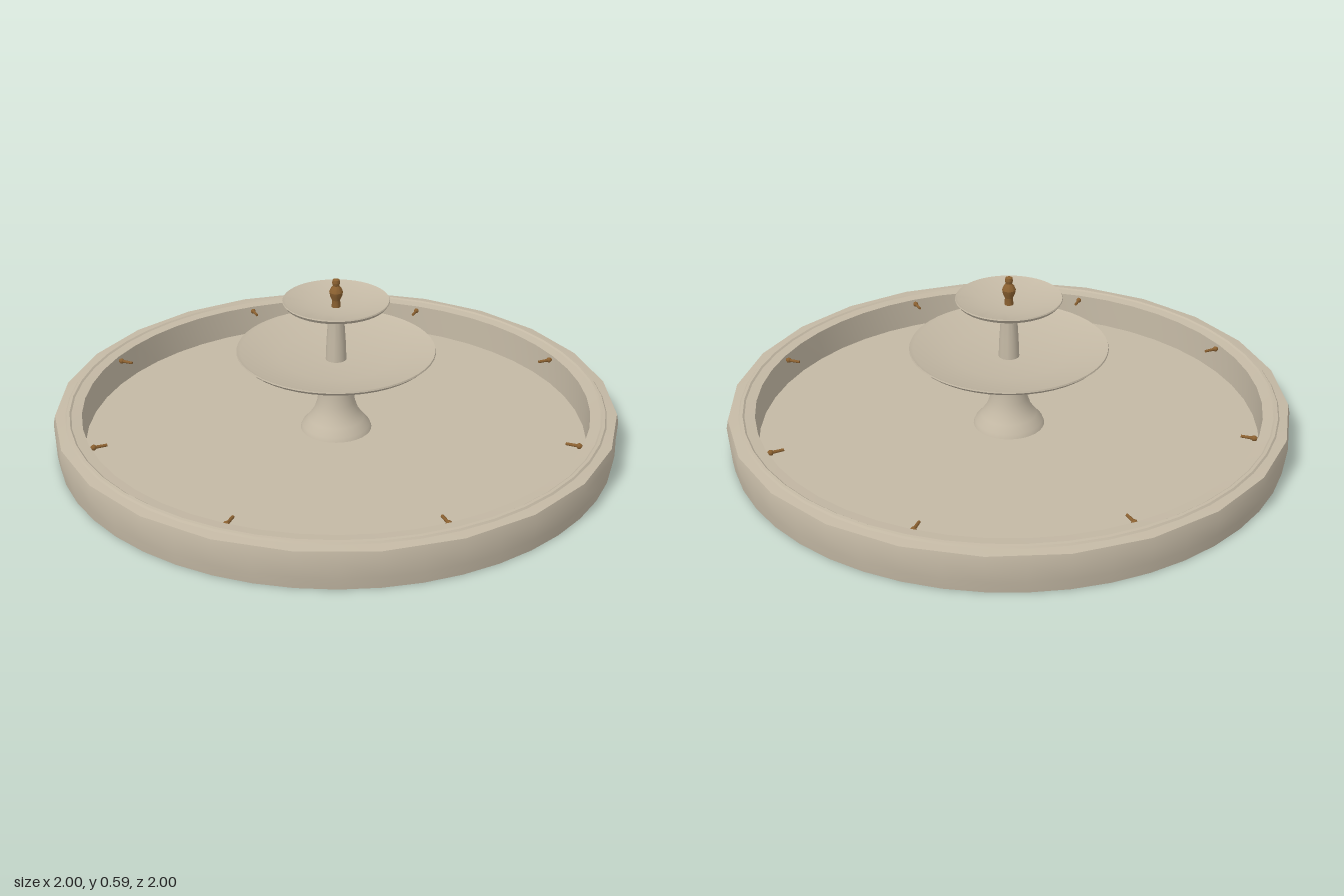
import * as THREE from 'three';
import { toCreasedNormals } from 'three/addons/utils/BufferGeometryUtils.js';

const stone = new THREE.MeshStandardMaterial({ name: 'stone', color: 0xc3b8a4 });
const bronze = new THREE.MeshStandardMaterial({ name: 'bronze', color: 0x8a6030 });

// Turned part from [radius, height] pairs, listed from underside to upper side
function turned(name, profile, material, segments, reshape) {
  const points = profile.map(([r, y]) => new THREE.Vector2(r, y));
  const geometry = new THREE.LatheGeometry(points, segments);
  if (reshape) reshape(geometry.attributes.position, profile.length);
  const mesh = new THREE.Mesh(toCreasedNormals(geometry, 0.5), material);
  mesh.name = name;
  return mesh;
}

// Flatten the upper outer wall into 24 straight facets above the round foot
function facetRim(position, rows) {
  const pull = Math.cos(Math.PI / 24);
  for (let i = 0; i < position.count; i++) {
    const column = Math.floor(i / rows), row = i % rows;
    if (column % 2 === 1 && row >= 3 && row <= 4) {
      position.setX(i, position.getX(i) * pull);
      position.setZ(i, position.getZ(i) * pull);
    }
  }
}

export function createModel() {
  const fountain = new THREE.Group();
  fountain.name = 'fountain';

  // Wide basin with a raised bead on the rim and a sunken floor
  fountain.add(turned('basin', [
    [0, 0], [0.988, 0], [0.993, 0.04], [1, 0.1], [0.993, 0.132],
    [0.957, 0.136], [0.952, 0.142], [0.942, 0.143], [0.936, 0.138],
    [0.9, 0.134], [0.895, 0.02], [0, 0.02],
  ], stone, 48, facetRim));

  // Flared pedestal
  fountain.add(turned('pedestal', [
    [0.128, 0.02], [0.122, 0.035], [0.1, 0.06], [0.08, 0.09],
    [0.068, 0.125], [0.063, 0.16], [0.057, 0.25], [0.057, 0.28],
  ], stone, 32));

  // Lower bowl, shallow and hollow
  fountain.add(turned('lowerBowl', [
    [0, 0.265], [0.06, 0.267], [0.2, 0.288], [0.338, 0.314],
    [0.352, 0.327], [0.35, 0.332], [0.338, 0.327], [0.2, 0.303], [0, 0.287],
  ], stone, 48));

  // Upper column
  fountain.add(turned('upperColumn', [
    [0.037, 0.285], [0.034, 0.36], [0.028, 0.45], [0.028, 0.485],
  ], stone, 32));

  // Upper bowl
  fountain.add(turned('upperBowl', [
    [0, 0.47], [0.032, 0.472], [0.11, 0.485], [0.178, 0.501],
    [0.187, 0.513], [0.185, 0.517], [0.176, 0.513], [0.1, 0.5], [0, 0.488],
  ], stone, 48));

  // Bronze finial
  fountain.add(turned('finial', [
    [0.016, 0.486], [0.014, 0.515], [0.021, 0.53], [0.024, 0.545],
    [0.019, 0.558], [0.011, 0.568], [0.014, 0.579], [0.012, 0.59], [0, 0.594],
  ], bronze, 20));

  // Eight nozzles pointing inward from the basin wall
  const spoutGeometry = new THREE.CylinderGeometry(0.005, 0.006, 0.055, 10).rotateZ(Math.PI / 2);
  const headGeometry = new THREE.SphereGeometry(0.01, 12, 8);
  for (let i = 0; i < 8; i++) {
    const nozzle = new THREE.Group();
    nozzle.name = `nozzle${i + 1}`;
    const spout = new THREE.Mesh(spoutGeometry, bronze);
    spout.name = 'spout';
    spout.position.set(0.866, 0.121, 0);
    const head = new THREE.Mesh(headGeometry, bronze);
    head.name = 'nozzleHead';
    head.position.set(0.884, 0.121, 0);
    nozzle.add(spout, head);
    nozzle.rotation.y = i * Math.PI / 4;
    fountain.add(nozzle);
  }
  return fountain;
}
